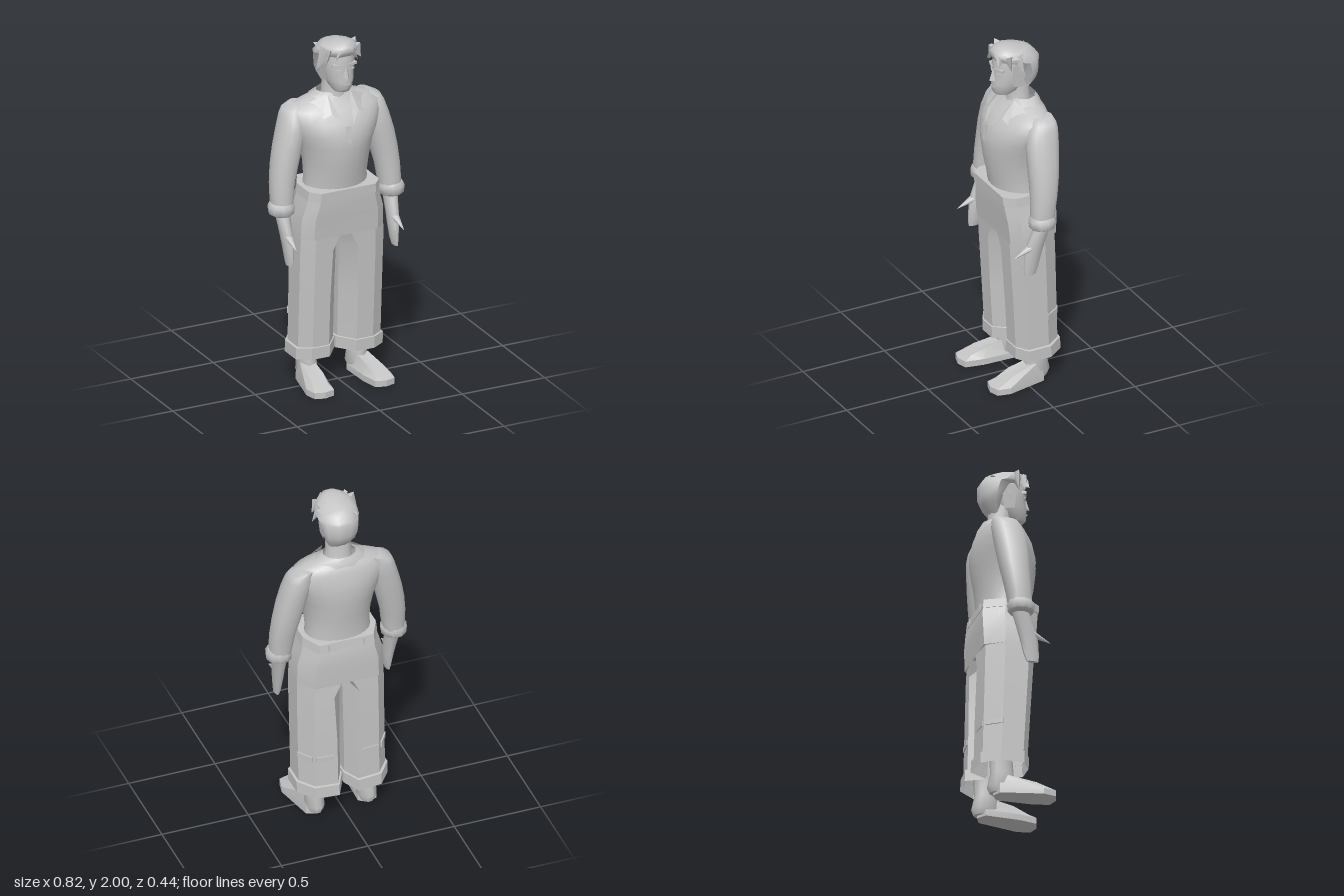
import * as THREE from 'three';
import { toCreasedNormals } from 'three/addons/utils/BufferGeometryUtils.js';

const grey = new THREE.MeshStandardMaterial({ color: 0xc4c4c4, side: THREE.DoubleSide });
grey.name = 'grey';

// Joins rings of [x, y, z] points, listed from the bottom up, optionally closing both ends
function skin(rings, crease, caps = true) {
  const n = rings[0].length, pos = rings.flat(2), index = [];
  for (let j = 0; j < rings.length - 1; j++) {
    for (let i = 0; i < n; i++) {
      const a = j * n + i, b = j * n + (i + 1) % n;
      index.push(a, a + n, b, b, a + n, b + n);
    }
  }
  if (caps) {
    [0, rings.length - 1].forEach((j) => {
      const mid = [0, 1, 2].map((k) => rings[j].reduce((s, p) => s + p[k], 0) / n);
      const c = pos.length / 3;
      pos.push(...mid);
      for (let i = 0; i < n; i++) {
        const a = j * n + i, b = j * n + (i + 1) % n;
        if (j === 0) index.push(c, a, b); else index.push(c, b, a);
      }
    });
  }
  const g = new THREE.BufferGeometry();
  g.setAttribute('position', new THREE.Float32BufferAttribute(pos, 3));
  g.setIndex(index);
  return toCreasedNormals(g, crease);
}

// Sections are [y, xMin, xMax, zMin, zMax]
const place = ([y, x0, x1, z0, z1], u, v) =>
  [(x0 + x1) / 2 + u * (x1 - x0) / 2, y, (z0 + z1) / 2 + v * (z1 - z0) / 2];

// Rounded body: a power under 1 squares the outline, over 1 makes it pointed
function round(sections, n = 20, { side = 1, front = 1, back = 1, caps = true } = {}) {
  const bend = (t, p) => Math.sign(t) * Math.abs(t) ** p;
  return skin(sections.map((s) => Array.from({ length: n }, (_, i) => {
    const a = i / n * Math.PI * 2, v = Math.sin(a);
    return place(s, bend(Math.cos(a), side), bend(v, v > 0 ? front : back));
  })), 0.95, caps);
}

// Eight-cornered outlines in units of the section size
const legOutline = [[1, -0.25], [1, 0.68], [0.43, 1], [-0.4, 1], [-1, 0.3], [-1, -0.3], [-0.6, -1], [0.45, -0.9]];
const hipOutline = [[1, -0.25], [1, 0.65], [0.77, 1], [-0.77, 1], [-1, 0.65], [-1, -0.25], [-0.74, -0.95], [0.74, -0.95]];

// Faceted body; a sixth value in a section places its inner front and back corners
function faceted(outline, sections, caps = true) {
  return skin(sections.map((s) => outline.map(([u, v]) => {
    const p = place(s, u, v);
    return s.length > 5 && u < 0 && u > -1 ? [s[5], p[1], p[2]] : p;
  })), 0.4, caps);
}

// Flat fan through a few points
function plate(points) {
  const g = new THREE.BufferGeometry();
  g.setAttribute('position', new THREE.Float32BufferAttribute(points.flat(), 3));
  g.setIndex(points.slice(2).flatMap((_, i) => [0, i + 1, i + 2]));
  const flat = g.toNonIndexed();
  flat.computeVertexNormals();
  return flat;
}

// Flattened pointed lock from a root to a tip
function spike(from, to, radius, flat = 0.5, sides = 6) {
  const a = new THREE.Vector3(...from), d = new THREE.Vector3(...to).sub(a);
  const g = new THREE.ConeGeometry(radius, d.length(), sides);
  g.translate(0, d.length() / 2, 0);
  g.scale(1, 1, flat);
  g.applyQuaternion(new THREE.Quaternion().setFromUnitVectors(new THREE.Vector3(0, 1, 0), d.normalize()));
  g.translate(...from);
  return toCreasedNormals(g, 1.2);
}

function box(w, h, d, x, y, z, ry = 0) {
  return new THREE.BoxGeometry(w, h, d).rotateY(ry).translate(x, y, z);
}

function add(parent, name, geometry) {
  const mesh = new THREE.Mesh(geometry, grey);
  mesh.name = name;
  parent.add(mesh);
}

function buildSide(name) {
  const side = new THREE.Group();
  side.name = name;
  // Sleeve and rolled cuff
  add(side, 'sleeve', round([
    [1.04, 0.275, 0.385, -0.085, 0.04], [1.12, 0.26, 0.388, -0.095, 0.04],
    [1.2, 0.25, 0.386, -0.11, 0.037], [1.3, 0.225, 0.375, -0.127, 0.035],
    [1.4, 0.2, 0.356, -0.14, 0.035], [1.5, 0.18, 0.328, -0.152, 0.03],
    [1.57, 0.17, 0.306, -0.157, 0.012], [1.605, 0.17, 0.288, -0.152, -0.01],
    [1.628, 0.17, 0.24, -0.145, -0.035]], 16, { side: 0.85, back: 0.75 }));
  add(side, 'sleeveCuff', round([
    [1.02, 0.275, 0.385, -0.08, 0.04], [1.03, 0.262, 0.403, -0.093, 0.052],
    [1.07, 0.256, 0.408, -0.096, 0.055], [1.09, 0.268, 0.395, -0.09, 0.045]], 10));
  // Hand with thumb
  add(side, 'hand', round([
    [0.745, 0.308, 0.334, 0.015, 0.08], [0.78, 0.3, 0.338, 0, 0.085],
    [0.86, 0.292, 0.347, -0.02, 0.08], [0.93, 0.29, 0.355, -0.04, 0.065],
    [1.03, 0.285, 0.367, -0.07, 0.025]], 10));
  add(side, 'thumb', spike([0.322, 0.92, 0.02], [0.326, 0.863, 0.152], 0.032, 0.75, 8));
  // Trouser leg rising into the crotch arch, open at the hem
  add(side, 'trouserLeg', faceted(legOutline, [
    [0.18, 0.012, 0.25, -0.208, 0.058], [0.5, 0.012, 0.251, -0.2, 0.076],
    [0.8, 0.008, 0.252, -0.193, 0.094, 0.075], [0.88, 0, 0.25, -0.19, 0.098, 0.035]], false));
  add(side, 'trouserCuff', faceted(legOutline, [
    [0.168, 0.004, 0.263, -0.223, 0.065], [0.235, 0.004, 0.263, -0.22, 0.067],
    [0.238, 0.012, 0.25, -0.205, 0.06]], false));
  add(side, 'legPocketFlap', box(0.008, 0.03, 0.1, 0.226, 0.41, -0.14, 0.58));
  add(side, 'legPocketBack', box(0.1, 0.03, 0.008, 0.13, 0.41, -0.196, -0.1));
  // Slanted hip pocket edge
  add(side, 'hipPocket', plate([[0.212, 1.08, -0.08], [0.2, 1.09, -0.11], [0.235, 0.99, -0.1], [0.246, 0.97, -0.07]]));
  // Shoe with sloping top
  const sole = [[0.205, -0.1], [0.257, 0.13], [0.242, 0.203], [0.185, 0.22],
    [0.125, 0.203], [0.105, 0.1], [0.1, -0.09], [0.15, -0.125]];
  const upper = sole.map(([x, z]) => {
    const tz = z * 0.85 - 0.01;
    return [0.165 + (x - 0.165) * 0.6, Math.min(0.125, 0.05 + (0.18 - tz) * 0.38), tz];
  });
  add(side, 'shoe', skin([sole.map(([x, z]) => [x, 0, z]), sole.map(([x, z]) => [x, 0.035, z]), upper], 0.4));
  add(side, 'ankle', round([
    [0.015, 0.11, 0.19, -0.145, -0.02], [0.05, 0.095, 0.205, -0.158, 0],
    [0.13, 0.1, 0.205, -0.14, -0.01], [0.24, 0.1, 0.21, -0.145, -0.02]], 10));
  // Collar lapel
  add(side, 'lapel', plate([[0.07, 1.685, 0.01], [0.165, 1.64, -0.02], [0.135, 1.57, 0.078],
    [0.08, 1.595, 0.09], [0.022, 1.535, 0.142]]));
  // Brow, eye and sideburn
  add(side, 'brow', box(0.058, 0.014, 0.03, 0.041, 1.873, 0.082, 0.3));
  add(side, 'eye', box(0.035, 0.008, 0.008, 0.04, 1.845, 0.089, 0.35));
  add(side, 'sideburn', plate([[0.09, 1.9, 0.03], [0.092, 1.9, -0.06], [0.079, 1.76, -0.04], [0.078, 1.77, 0.02]]));
  return side;
}

export function createModel() {
  const model = new THREE.Group();
  model.name = 'standingMan';

  // Left side and its mirror
  const left = buildSide('leftSide'), right = buildSide('rightSide');
  right.scale.x = -1;
  model.add(left, right);

  // Shirt: flat back, chest coming to a soft ridge
  add(model, 'shirt', round([
    [1.14, -0.185, 0.185, -0.168, 0.108], [1.2, -0.18, 0.18, -0.168, 0.117],
    [1.3, -0.188, 0.188, -0.18, 0.14], [1.4, -0.21, 0.21, -0.195, 0.151],
    [1.47, -0.24, 0.24, -0.199, 0.15], [1.54, -0.265, 0.265, -0.194, 0.125],
    [1.6, -0.265, 0.265, -0.177, 0.08], [1.635, -0.21, 0.21, -0.165, 0.035],
    [1.67, -0.1, 0.1, -0.135, 0.01]], 24, { front: 1.2, back: 0.85, caps: false }));
  add(model, 'placket', plate([[-0.022, 1.53, 0.138], [-0.022, 1.45, 0.155],
    [0.004, 1.43, 0.158], [0.012, 1.53, 0.14]]));
  add(model, 'collar', round([
    [1.635, -0.165, 0.165, -0.168, 0.04], [1.66, -0.142, 0.142, -0.16, 0.015],
    [1.685, -0.095, 0.095, -0.145, 0.008]], 10, { caps: false }));

  // Trouser top, waistband and belt loops
  add(model, 'trouserTop', faceted(hipOutline, [
    [0.88, -0.25, 0.25, -0.192, 0.098], [1.0, -0.245, 0.245, -0.197, 0.11],
    [1.09, -0.217, 0.217, -0.195, 0.121], [1.15, -0.208, 0.208, -0.18, 0.122]]));
  add(model, 'waistband', faceted(hipOutline, [
    [1.11, -0.218, 0.218, -0.193, 0.128], [1.16, -0.212, 0.212, -0.187, 0.13]]));
  for (const x of [-0.1, 0.1]) add(model, 'beltLoop', box(0.01, 0.05, 0.008, x, 1.132, -0.184));

  // Neck and head
  add(model, 'neck', round([
    [1.62, -0.085, 0.085, -0.13, 0.03], [1.68, -0.071, 0.071, -0.11, 0.013],
    [1.79, -0.068, 0.068, -0.105, 0.02]], 12));
  add(model, 'head', round([
    [1.715, -0.045, 0.045, -0.01, 0.09], [1.735, -0.058, 0.058, -0.06, 0.106],
    [1.78, -0.077, 0.077, -0.1, 0.106], [1.84, -0.087, 0.087, -0.13, 0.098],
    [1.88, -0.089, 0.089, -0.135, 0.102], [1.94, -0.08, 0.08, -0.12, 0.09]], 16, { side: 0.9 }));
  add(model, 'nose', plate([[0, 1.875, 0.102], [-0.02, 1.8, 0.098], [0, 1.8, 0.126], [0.02, 1.8, 0.098]]));
  add(model, 'noseBase', plate([[-0.02, 1.8, 0.098], [0, 1.79, 0.102], [0.02, 1.8, 0.098], [0, 1.8, 0.126]]));
  add(model, 'mouth', box(0.04, 0.006, 0.01, 0, 1.762, 0.103));

  // Hair mass, pointed at the fringe and the nape
  add(model, 'hair', round([
    [1.735, -0.06, 0.06, -0.1, -0.05], [1.79, -0.087, 0.087, -0.148, -0.035],
    [1.83, -0.102, 0.102, -0.164, -0.015], [1.91, -0.114, 0.114, -0.166, 0.03],
    [1.922, -0.118, 0.118, -0.16, 0.1], [1.95, -0.116, 0.116, -0.14, 0.116],
    [1.975, -0.09, 0.09, -0.1, 0.11], [1.994, -0.05, 0.05, -0.02, 0.085],
    [2, -0.02, 0.02, 0.01, 0.06]], 10, { front: 1.15, back: 1.25 }));

  // Loose locks
  const locks = [
    [[-0.08, 1.955, 0.03], [-0.145, 1.845, 0.025], 0.05],
    [[-0.075, 1.955, 0.05], [-0.11, 1.87, 0.07], 0.04],
    [[0.08, 1.95, 0.0], [0.138, 1.875, -0.015], 0.05],
    [[0.075, 1.955, 0.05], [0.115, 1.885, 0.05], 0.04],
    [[-0.03, 1.95, 0.08], [-0.065, 1.905, 0.106], 0.035],
    [[0.04, 1.95, 0.08], [0.07, 1.9, 0.103], 0.035],
    [[-0.06, 1.94, -0.03], [-0.085, 1.94, -0.135], 0.04]];
  for (const [from, to, r] of locks) add(model, 'hairLock', spike(from, to, r, 0.45, 5));
  return model;
}
